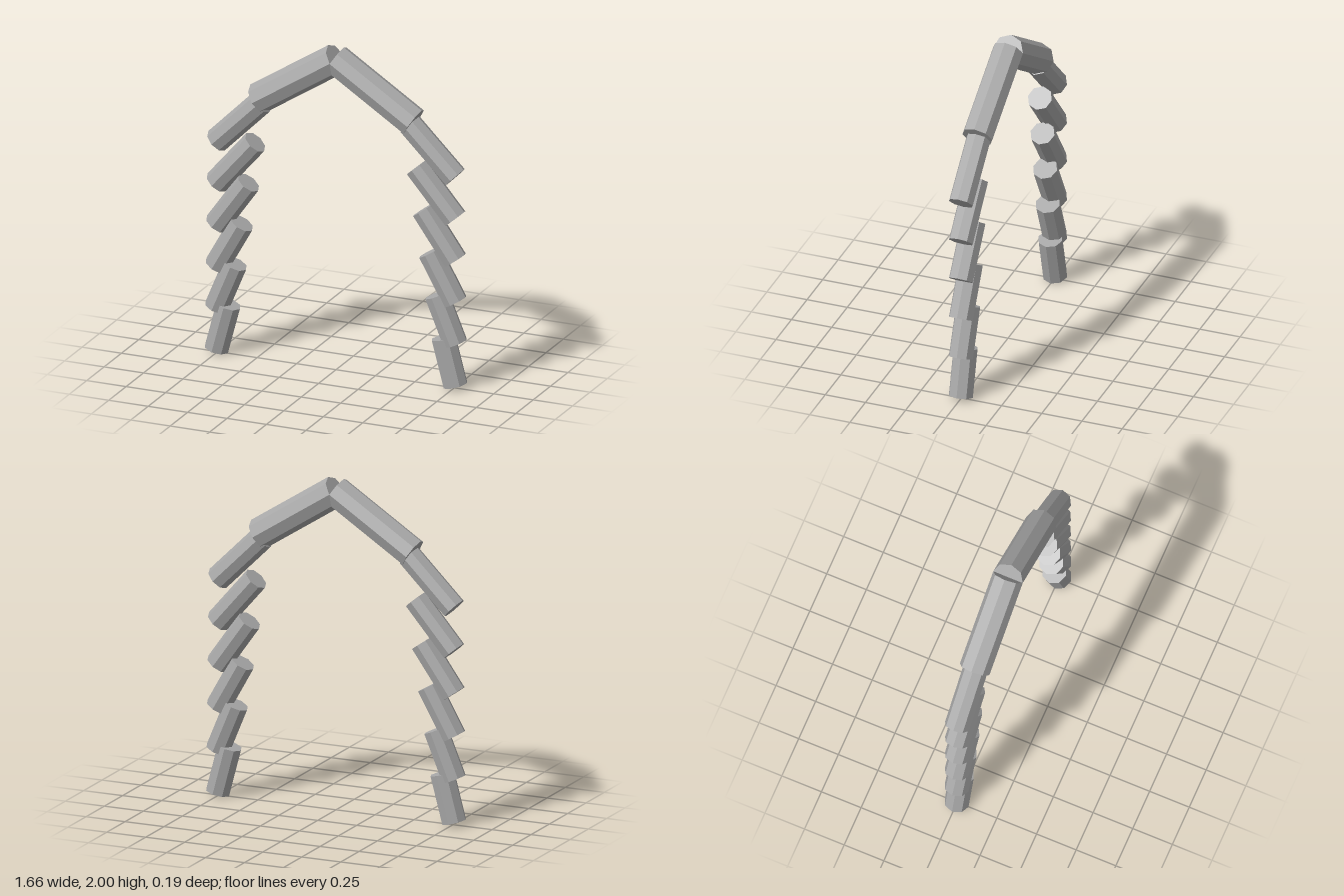
import * as THREE from 'three';

export function createModel() {
  const model = new THREE.Group();
  model.name = 'archFrame';
  const stone = new THREE.MeshStandardMaterial({ color: 0xa8a8a8, flatShading: true });
  stone.name = 'grey stone';

  // Eight-sided log between two points in the x-y plane
  function log(name, x0, y0, x1, y1, radius) {
    const a = new THREE.Vector3(x0, y0, 0);
    const b = new THREE.Vector3(x1, y1, 0);
    const mesh = new THREE.Mesh(new THREE.CylinderGeometry(radius, radius, a.distanceTo(b), 8), stone);
    mesh.position.copy(a).add(b).multiplyScalar(0.5);
    mesh.rotation.z = -Math.atan2(x1 - x0, y1 - y0);
    mesh.name = name;
    return mesh;
  }

  for (const [label, s] of [['left', 1], ['right', -1]]) {
    const side = new THREE.Group();
    side.name = label + 'Side';

    // Stacked pillar logs, leaning further inward the higher they sit
    for (let i = 0; i < 6; i++) {
      const y = 0.019 + 0.257 * i;
      side.add(log(label + 'PillarLog' + (i + 1), s * 0.757, y, s * (0.681 - 0.0422 * i), y + 0.284, 0.074));
    }

    // Thicker roof beam meeting its twin at the ridge
    side.add(log(label + 'RoofBeam', s * 0.493, 1.605, 0, 1.922, 0.093));
    model.add(side);
  }
  return model;
}
